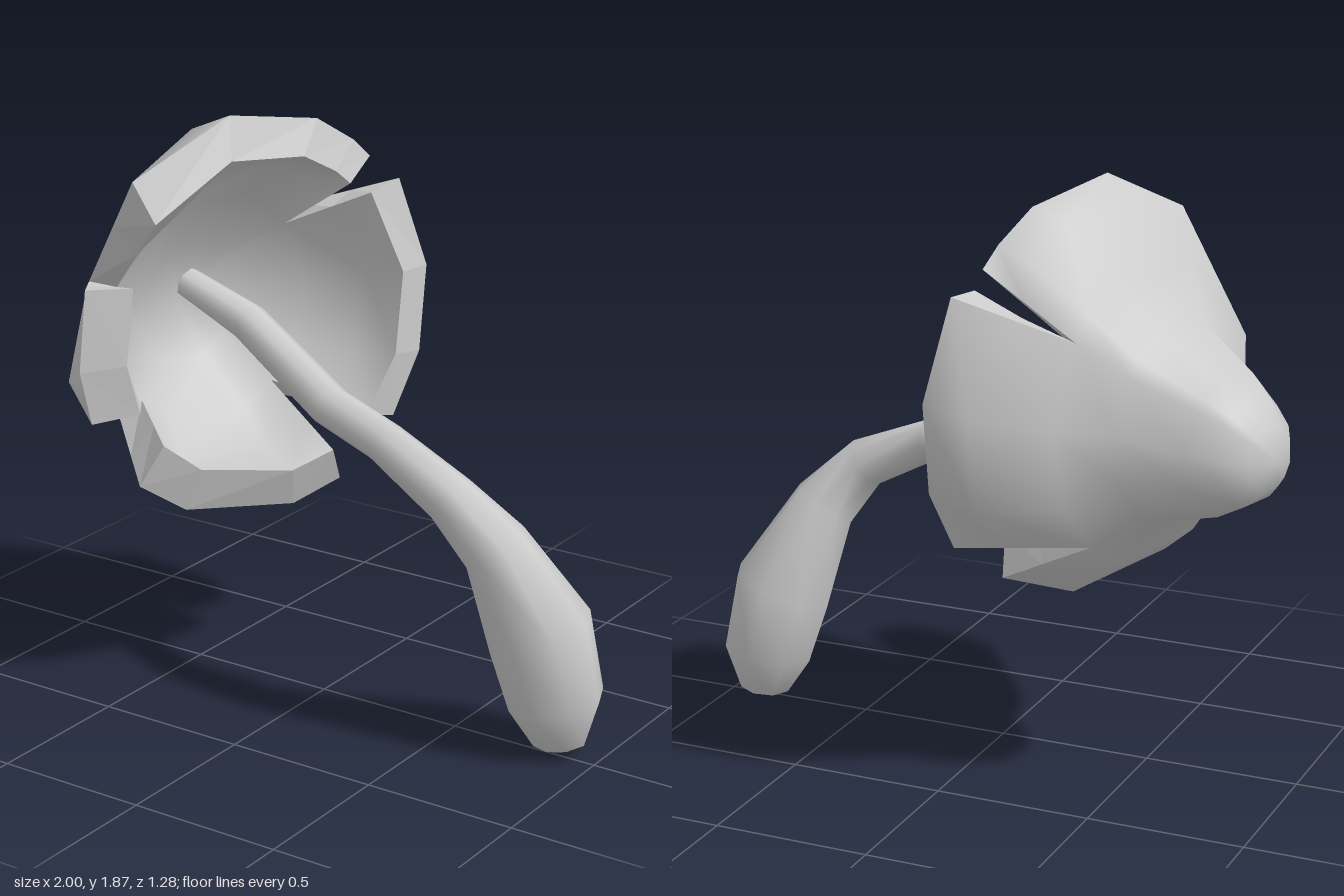
import * as THREE from 'three';
import { mergeGeometries, mergeVertices } from 'three/addons/utils/BufferGeometryUtils.js';

const { lerp, degToRad } = THREE.MathUtils;
const material = new THREE.MeshStandardMaterial({ color: 0xcccccc, side: THREE.DoubleSide });

// Surface through rows of points
function grid(rows) {
  const n = rows[0].length, index = [];
  for (let i = 0; i < rows.length - 1; i++) {
    for (let j = 0; j < n - 1; j++) {
      const a = i * n + j, b = a + n;
      index.push(a, b, a + 1, a + 1, b, b + 1);
    }
  }
  const g = new THREE.BufferGeometry().setFromPoints(rows.flat());
  g.setIndex(index);
  return g;
}

function smooth(parts) {
  const g = mergeVertices(mergeGeometries(parts), 1e-4);
  g.computeVertexNormals();
  return g;
}

function flat(parts) {
  const g = mergeGeometries(parts).toNonIndexed();
  g.computeVertexNormals();
  return g;
}

function mesh(name, geometry) {
  const m = new THREE.Mesh(geometry, material);
  m.name = name;
  return m;
}

// Cap frame: axis runs from the nose to the open rim
const APEX = new THREE.Vector3(-0.985, 1.13, -0.262);
const AXIS = new THREE.Vector3(0.945, 0.13, 0.327);
const SIDE = new THREE.Vector3(-0.327, 0, 0.945);

// Profiles: distance along axis, radius, how far the splits have opened
const OUTER = [[-0.005, 0, 0], [0.02, 0.1, 0], [0.07, 0.16, 0], [0.155, 0.22, 0], [0.36, 0.305, 0],
  [0.46, 0.463, 0], [0.64, 0.633, 0.6], [0.78, 0.665, 1]];
const INNER = [[0.83, 0.53, 1], [0.66, 0.5, 0.6], [0.5, 0.38, 0], [0.37, 0.2, 0], [0.31, 0, 0]];

// Segments: angles where the splits start, corner angles of the outer rim,
// end angles of the inner rim, shift of the two rim ends along the axis, flare
const SEGMENTS = [
  { tip: [20, 142], rim: [49, 84, 114, 129, 137], lip: [43, 134], shift: [-0.06, -0.06], flare: 0.99 },
  { tip: [142, 231], rim: [147, 175, 200, 220], lip: [140, 227], shift: [-0.01, 0.03], flare: 1.01 },
  { tip: [231, 316], rim: [245, 261, 296, 313], lip: [246, 318], shift: [0.05, -0.03], flare: 0.99 },
  { tip: [316, 380], rim: [340, 355, 377], lip: [336, 380], shift: [0, 0], flare: 1.02 },
];

// Point on a segment; f runs from 0 to 1 between its two splits
function capPoint([s, r, open], seg, ends, f) {
  const a = degToRad(lerp(lerp(...seg.tip, f), lerp(...ends, f), open));
  const radius = r * lerp(1, seg.flare, open);
  const p = APEX.clone().addScaledVector(AXIS, s + open * lerp(...seg.shift, f));
  p.addScaledVector(SIDE, radius * Math.cos(a));
  p.y += radius * Math.sin(a);
  return p;
}

function createCap() {
  const cap = new THREE.Group();
  cap.name = 'cap';
  const skin = [], lining = [], edges = [];
  for (const seg of SEGMENTS) {
    const first = seg.rim[0], last = seg.rim.at(-1);
    const steps = seg.rim.map((a) => (a - first) / (last - first));
    const outer = OUTER.map((p) => steps.map((f) => capPoint(p, seg, [first, last], f)));
    const inner = INNER.map((p) => steps.map((f) => capPoint(p, seg, seg.lip, f)));
    // Cut faces on both sides of the segment, with straight edges from split tip to rim
    for (const j of [0, steps.length - 1]) {
      outer[6][j].lerpVectors(outer[5][j], outer[7][j], 0.55);
      inner[1][j].lerpVectors(inner[2][j], inner[0][j], 0.55);
      edges.push(grid([0, 1, 2].map((i) => {
        const pair = [inner[2 - i][j], outer[5 + i][j]];
        return j ? pair.reverse() : pair;
      })));
    }
    skin.push(grid(outer));
    lining.push(grid(inner));
    edges.push(grid([outer[7], inner[0]]));
  }
  cap.add(mesh('capSkin', smooth(skin)), mesh('capLining', smooth(lining)), mesh('capRimAndSplits', flat(edges)));
  return cap;
}

// Bent stem with a swollen foot: x, y, z, radius
const STEM = [[-0.64, 1.275, -0.11, 0.001], [-0.61, 1.265, -0.105, 0.05], [-0.36, 1.17, -0.1, 0.064],
  [0, 0.97, -0.035, 0.068], [0.29, 0.945, 0.095, 0.067], [0.55, 0.825, 0.13, 0.083], [0.68, 0.68, 0.08, 0.108],
  [0.8, 0.4, 0, 0.17], [0.85, 0.18, -0.02, 0.153], [0.868, 0.04, -0.02, 0.085], [0.87, 0.005, -0.02, 0.001]];

function createStem(sides = 8) {
  const centres = STEM.map(([x, y, z]) => new THREE.Vector3(x, y, z));
  const rows = centres.map((c, i) => {
    const t = centres[Math.min(i + 1, centres.length - 1)].clone().sub(centres[Math.max(i - 1, 0)]).normalize();
    const up = new THREE.Vector3(0, 0, 1).cross(t).normalize();
    const across = up.clone().cross(t);
    return Array.from({ length: sides + 1 }, (_, j) => {
      const a = (j % sides) / sides * Math.PI * 2, r = STEM[i][3];
      return c.clone().addScaledVector(across, r * Math.cos(a)).addScaledVector(up, r * Math.sin(a));
    });
  });
  return mesh('stem', smooth([grid(rows)]));
}

export function createModel() {
  const model = new THREE.Group();
  model.name = 'mushroom';
  model.add(createCap(), createStem());
  return model;
}
